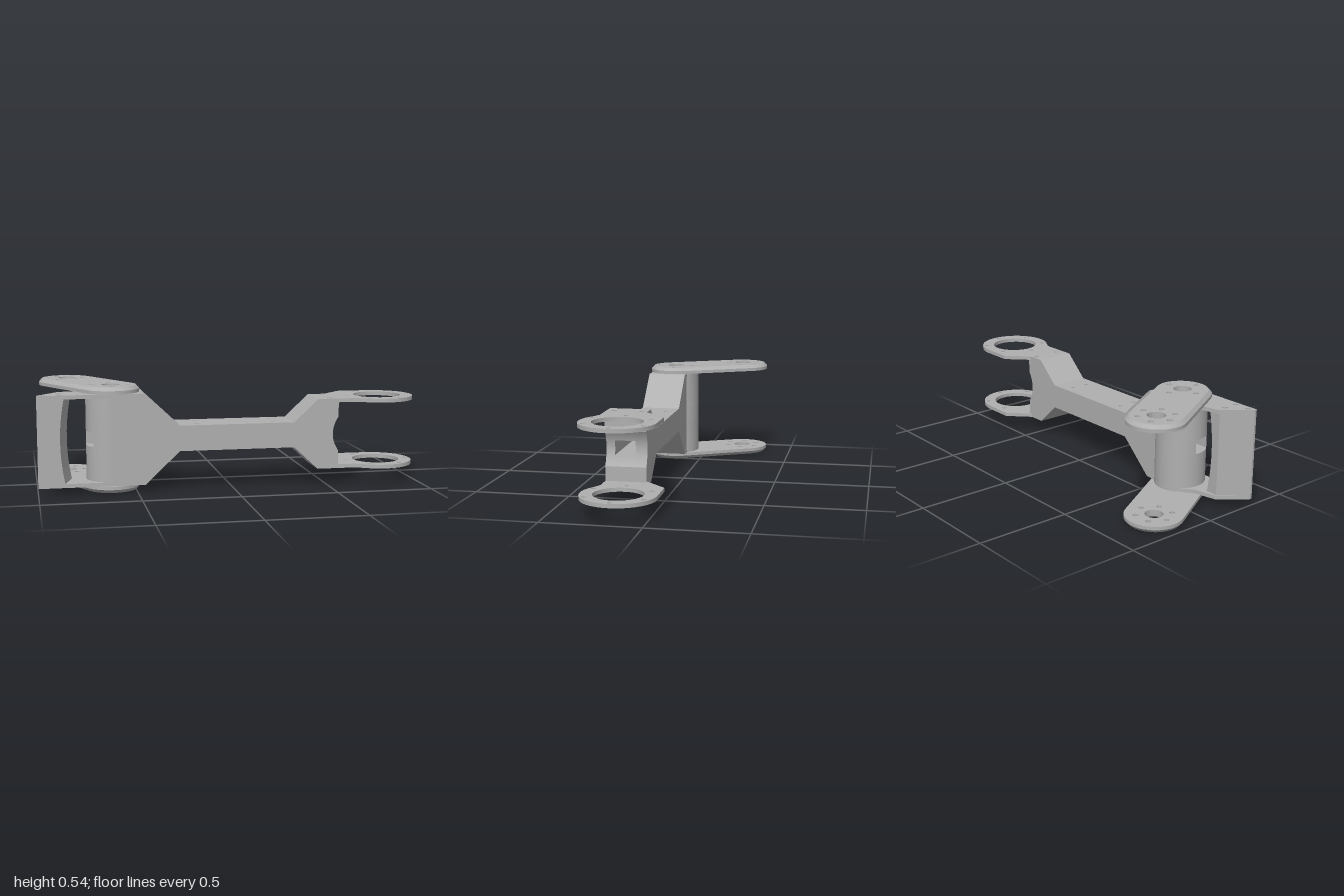
import * as THREE from 'three';
import { toCreasedNormals } from 'three/addons/utils/BufferGeometryUtils.js';

const MID = 0.27; // height of the mirror plane
const HUB = [-0.62, 0.16], TIP = [-0.825, -0.21], RING = [0.81, 0.16];

const arc = ([cx, cy], r, a0, a1, n = 24) => Array.from({ length: n + 1 }, (_, i) => {
  const a = a0 + (a1 - a0) * i / n;
  return [cx + r * Math.cos(a), cy + r * Math.sin(a)];
});

function shapeOf(points, holes = []) {
  const s = new THREE.Shape(points.map(p => new THREE.Vector2(...p)));
  for (const [x, y, r] of holes) {
    const h = new THREE.Path();
    h.absarc(x, y, r, 0, Math.PI * 2, true);
    s.holes.push(h);
  }
  return s;
}

export function createModel() {
  const group = new THREE.Group();
  const grey = new THREE.MeshStandardMaterial({ color: 0xb0b0b0 });
  grey.name = 'plainGrey';

  function add(name, geometry) {
    const mesh = new THREE.Mesh(toCreasedNormals(geometry, 0.5), grey);
    mesh.name = name;
    group.add(mesh);
  }

  // Horizontal slab: outline in x and z, from y0 up to y1
  function slab(shape, y0, y1, steps = 1, move) {
    const g = new THREE.ExtrudeGeometry(shape, { depth: y1 - y0, bevelEnabled: false, steps, curveSegments: 20 });
    g.rotateX(Math.PI / 2).translate(0, y1, 0);
    if (move) {
      const p = g.attributes.position, v = new THREE.Vector3();
      for (let i = 0; i < p.count; i++) {
        move(v.fromBufferAttribute(p, i));
        p.setXYZ(i, v.x, v.y, v.z);
      }
    }
    return g;
  }
  // Slab measured from the mirror plane, above (s = 1) or below (s = -1)
  const mirrored = (shape, a, b, s, steps, move) =>
    slab(shape, MID + (s > 0 ? a : -b), MID + (s > 0 ? b : -a), steps, move);

  // Half of the arm side profile, from height v0 outwards
  function armHalf(v0, s, z0, z1) {
    const pts = [[-0.62, v0], [-0.62, 0.235], [-0.46, 0.235], [-0.28, 0.065], [-0.28, 0.045],
      [0.32, 0.045], [0.32, 0.065], [0.45, 0.185], [0.45, 0.165], [0.56, 0.165]];
    for (let i = 0; i <= 10; i++) {
      const v = 0.09 + (v0 - 0.09) * i / 10;
      pts.push([0.56 - 0.03 * (1 - (v / 0.09) ** 2), v]);
    }
    const g = new THREE.ExtrudeGeometry(shapeOf(pts.map(([x, v]) => [x, MID + s * v])),
      { depth: z1 - z0, bevelEnabled: false });
    return g.translate(0, 0, z0);
  }

  // Outline of the forked ring flange
  const ringOutline = [[0.45, 0.29], [0.45, 0.08], [0.54, 0.08], [0.65, -0.03],
    ...arc(RING, 0.19, -Math.PI / 2, 2.2, 40), [0.65, 0.29]];
  const ringHoles = [[...RING, 0.125], [0.52, 0.11, 0.013], [0.52, 0.25, 0.013],
    ...arc(RING, 0.167, 0, Math.PI * 5 / 3, 5).map(p => [...p, 0.012])];

  // Outline of the flange that carries the end panel
  const endOutline = [[-0.46, 0.29], [-1, 0.29], [-1, 0.275], [-0.89, 0.14], [-0.78, 0.115],
    ...arc(HUB, 0.13, Math.PI * 1.25, Math.PI * 1.78), [-0.46, 0.08]];
  const endHoles = [[-0.967, 0.265, 0.013], [-0.885, 0.265, 0.013], [-0.885, 0.19, 0.013]];

  // Capsule outline of the swinging link
  const R = 0.147;
  const dir = Math.atan2(TIP[1] - HUB[1], TIP[0] - HUB[0]);
  const linkOutline = [...arc(HUB, R, dir + Math.PI / 2, dir + Math.PI * 1.5),
    ...arc(TIP, R, dir - Math.PI / 2, dir + Math.PI / 2)];
  const linkHoles = [[...HUB, 0.046], [...TIP, 0.046],
    ...arc(HUB, 0.095, 0, Math.PI * 1.5, 3).map(p => [...p, 0.014]),
    ...arc(TIP, 0.09, 0, Math.PI * 5 / 3, 5).map(p => [...p, 0.014])];
  // Chamfer the outer rim by pulling it towards the link axis
  const axis = new THREE.Line3(new THREE.Vector3(HUB[0], 0, HUB[1]), new THREE.Vector3(TIP[0], 0, TIP[1]));
  const near = new THREE.Vector3();
  function chamfer(v) {
    if (Math.abs(v.y - MID) < 0.269) return;
    const y = v.y;
    v.y = 0;
    axis.closestPointToPoint(v, true, near);
    if (v.distanceTo(near) > R - 0.01) v.lerp(near, 0.016 / R);
    v.y = y;
  }

  const neckHoles = [-0.18, 0.22].flatMap(x => [0.135, 0.23].map(z => [x, z, 0.01]));
  const neck = shapeOf([[-0.28, 0.08], [0.32, 0.08], [0.32, 0.29], [-0.28, 0.29]], neckHoles);

  for (const s of [1, -1]) {
    // Arm: solid side walls around a square cable tunnel
    add('armBackWall', armHalf(0, s, 0.08, 0.14));
    add('armTunnelWall', armHalf(0.0375, s, 0.14, 0.245));
    add('armFrontWall', armHalf(0, s, 0.245, 0.29));
    add('neckPlate', mirrored(neck, 0.045, 0.066, s));
    add('ringFlange', mirrored(shapeOf(ringOutline, ringHoles), 0.165, 0.185, s));
    add('endFlange', mirrored(shapeOf(endOutline, endHoles), 0.215, 0.235, s));
    add('hub', mirrored(shapeOf(arc(HUB, 0.13, 0, Math.PI * 2, 48).slice(0, -1)), 0.0375, 0.235, s));
    add('swingLink', mirrored(shapeOf(linkOutline, linkHoles), 0.235, 0.27, s, 2, chamfer));
  }

  // Hub slice on both sides of the tunnel mouth
  const f = Math.asin(0.085 / 0.13), b = Math.asin(0.02 / 0.13);
  add('hubFrontSlice', slab(shapeOf(arc(HUB, 0.13, f, Math.PI - f)), MID - 0.0375, MID + 0.0375));
  add('hubBackSlice', slab(shapeOf(arc(HUB, 0.13, Math.PI + b, Math.PI * 2 - b)), MID - 0.0375, MID + 0.0375));

  // Wedge-shaped end panel with a concave inner edge
  const wedge = shapeOf([[-1, 0.278], [-1, 0.289], [-0.865, 0.289], [-0.825, 0.15], [-0.89, 0.15]]);
  add('endPanel', slab(wedge, MID - 0.216, MID + 0.216, 12, v => {
    if (v.x > -0.88) v.x -= 0.022 * (1 - ((v.y - MID) / 0.216) ** 2);
  }));

  return group;
}
